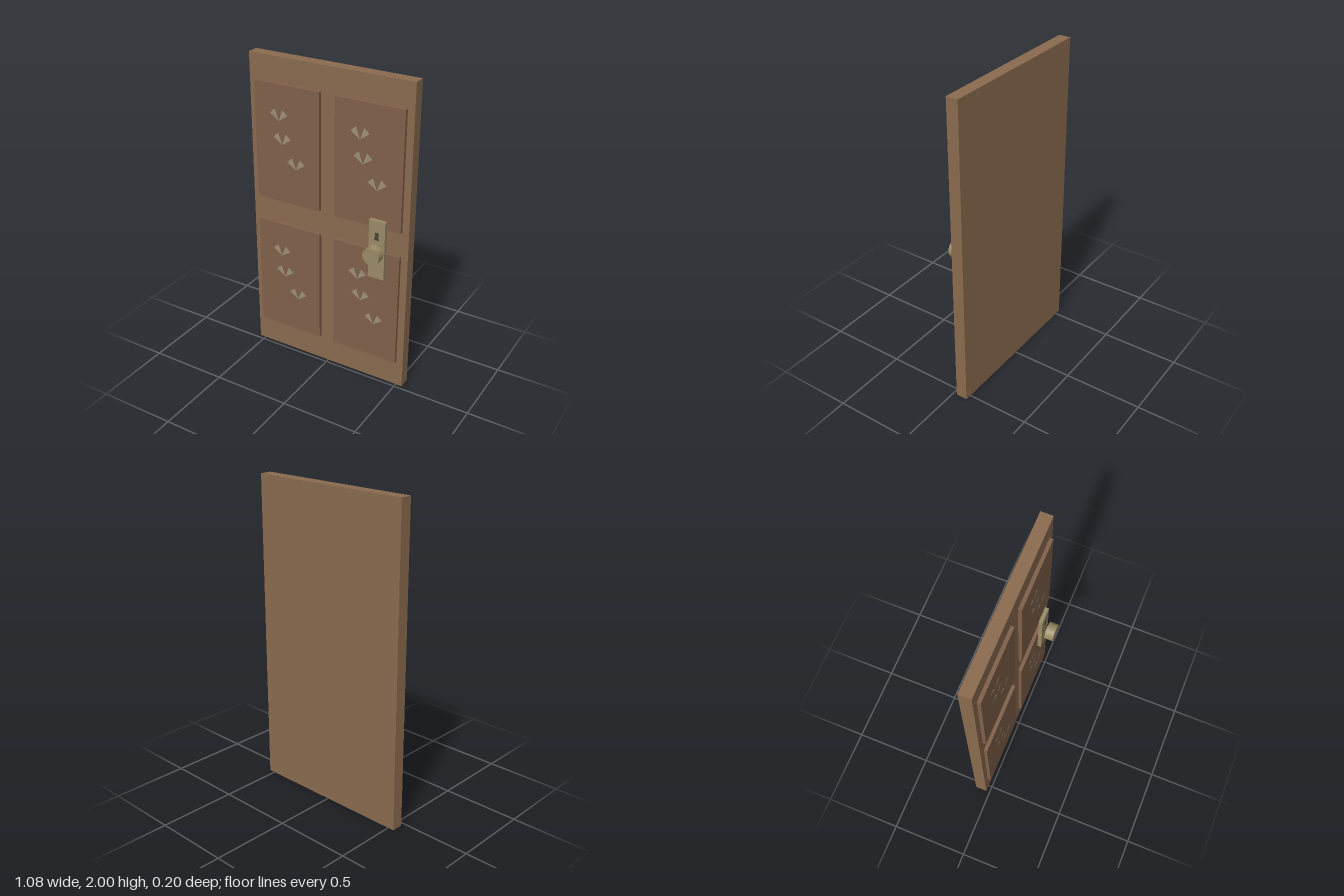
import * as THREE from 'three';

const material = (color, side = THREE.FrontSide) => new THREE.MeshStandardMaterial({ color, side });

export function createModel() {
  const group = new THREE.Group();
  const wood = material(0x8b6b4f);
  const panelWood = material(0x80604a);
  const brass = material(0x9a8a66);
  const inlay = material(0x9d9078, THREE.DoubleSide);
  const dark = material(0x4a4438, THREE.DoubleSide);

  const add = (name, geometry, mat, x, y, z) => {
    const mesh = new THREE.Mesh(geometry, mat);
    mesh.name = name;
    mesh.position.set(x, y, z);
    group.add(mesh);
    return mesh;
  };
  // Box given by its x, y and z ranges
  const box = (name, mat, [x0, x1], [y0, y1], [z0, z1]) =>
    add(name, new THREE.BoxGeometry(x1 - x0, y1 - y0, z1 - z0), mat,
      (x0 + x1) / 2, (y0 + y1) / 2, (z0 + z1) / 2);
  const flat = (...points) => new THREE.Shape(points.map(([x, y]) => new THREE.Vector2(x, y)));

  // Door slab
  box('doorSlab', wood, [-0.541, 0.541], [0, 2], [-0.1, -0.025]);

  // Four raised panels, each with three two-petal inlays
  const petals = new THREE.ShapeGeometry([-1, 1].map((s) =>
    flat([0, 0], [s * 0.061, 0.042], [s * 0.027, 0.074])));
  const tips = [[-0.054, 0.527], [-0.033, 0.379], [0.062, 0.235]];
  for (const x of [-0.274, 0.274]) {
    for (const y of [0.178, 1.09]) {
      box('panel', panelWood, [x - 0.223, x + 0.223], [y, y + 0.753], [-0.025, -0.003]);
      for (const [dx, dy] of tips) add('petalInlay', petals, inlay, x + dx, y + dy, -0.001);
    }
  }

  // Lock plate with keyhole
  box('lockPlate', brass, [0.307, 0.413], [0.767, 1.149], [0.003, 0.028]);
  const keyhole = flat([-0.017, -0.025], [0.017, -0.025], [0.01, 0.006], [0.014, 0.014],
    [0.009, 0.025], [-0.009, 0.025], [-0.014, 0.014], [-0.01, 0.006]);
  add('keyhole', new THREE.ShapeGeometry(keyhole), dark, 0.36, 1.05, 0.0295);

  // Round knob
  const knob = new THREE.CylinderGeometry(0.055, 0.055, 0.056, 32).rotateX(Math.PI / 2);
  add('knob', knob, brass, 0.36, 0.947, 0.072);

  return group;
}
